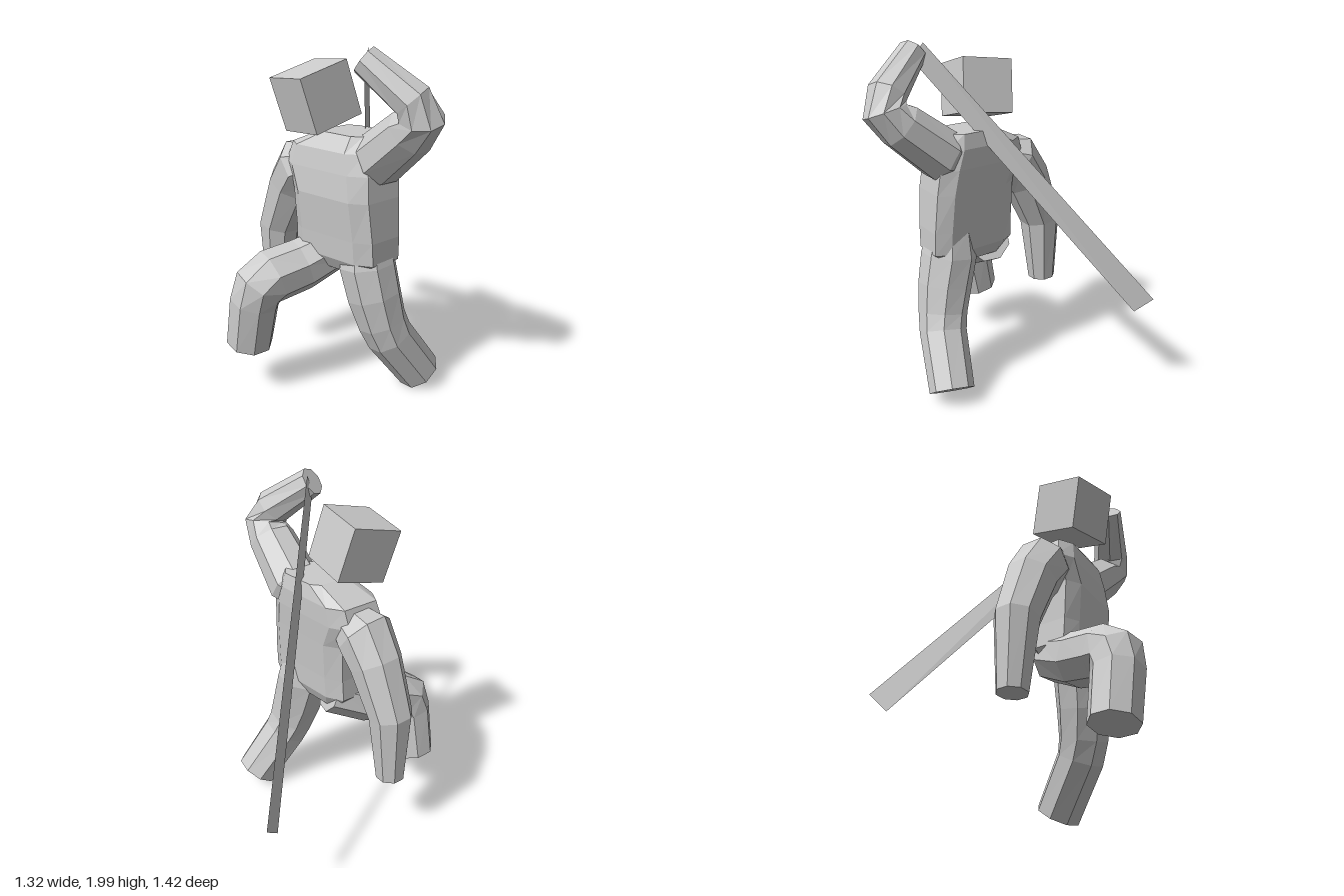
import * as THREE from 'three';

const SIDES = 8;
const vec = (a) => new THREE.Vector3(...a);

// Skin closed eight-sided cross-sections; each ring has centre c and half-axes u, v.
// A power below 1 squares the section off towards a box.
function loft(rings, power = 1) {
  const pos = [], idx = [];
  const k = 1 / Math.cos(Math.PI / SIDES);
  const shape = (s) => Math.sign(s) * Math.abs(s * k) ** power;
  for (const { c, u, v } of rings) {
    for (let j = 0; j < SIDES; j++) {
      const a = ((j + 0.5) / SIDES) * Math.PI * 2;
      const p = c.clone().addScaledVector(u, shape(Math.cos(a))).addScaledVector(v, shape(Math.sin(a)));
      pos.push(p.x, p.y, p.z);
    }
  }
  const last = (rings.length - 1) * SIDES;
  const c0 = rings.length * SIDES, c1 = c0 + 1;
  for (const r of [rings[0], rings[rings.length - 1]]) pos.push(r.c.x, r.c.y, r.c.z);
  for (let j = 0; j < SIDES; j++) {
    const n = (j + 1) % SIDES;
    for (let i = 0; i < last; i += SIDES) {
      idx.push(i + j, i + n, i + SIDES + n, i + j, i + SIDES + n, i + SIDES + j);
    }
    idx.push(c0, n, j, c1, last + j, last + n);
  }
  const g = new THREE.BufferGeometry();
  g.setAttribute('position', new THREE.Float32BufferAttribute(pos, 3));
  g.setIndex(idx);
  g.computeVertexNormals();
  return g;
}

// Limb through points [x, y, z, radius]; ref is a direction the limb never runs along
function limb(points, ref) {
  const c = points.map(([x, y, z]) => vec([x, y, z]));
  const dir = (i) => c[i + 1].clone().sub(c[i]).normalize();
  return loft(points.map((p, i) => {
    const t = new THREE.Vector3();
    if (i > 0) t.add(dir(i - 1));
    if (i < c.length - 1) t.add(dir(i));
    t.normalize();
    const u = vec(ref).cross(t).normalize();
    const v = t.clone().cross(u);
    return { c: c[i], u: u.multiplyScalar(p[3]), v: v.multiplyScalar(p[3]) };
  }));
}

export function createModel() {
  const group = new THREE.Group();
  const mat = new THREE.MeshStandardMaterial({ color: 0xcccccc, flatShading: true });
  const add = (name, geometry, material = mat) => {
    const m = new THREE.Mesh(geometry, material);
    m.name = name;
    group.add(m);
    return m;
  };

  // Torso: centre x, y, z, half width, half depth; twisted so the right side leads
  const torso = [
    [0.02, 0.765, 0.13, 0.19, 0.1],
    [0.045, 0.84, 0.13, 0.275, 0.138],
    [0.048, 0.97, 0.13, 0.272, 0.146],
    [0.04, 1.19, 0.132, 0.266, 0.163],
    [0.0, 1.33, 0.125, 0.29, 0.162],
    [-0.005, 1.44, 0.115, 0.25, 0.155],
    [0.06, 1.522, 0.085, 0.14, 0.12],
  ];
  add('torso', loft(torso.map(([x, y, z, w, d]) => ({
    c: vec([x, y, z]), u: vec([w, 0, -0.15 * w]), v: vec([0, 0, -d]),
  })), 0.45));

  // Head: cube nodding forward and turned a little
  const head = add('head', new THREE.BoxGeometry(0.3, 0.3, 0.3));
  const hx = vec([0.295, 0.03, 0.023]).normalize();
  const hz = vec([-0.018, -0.075, 0.288]).normalize();
  const hy = hz.clone().cross(hx).normalize();
  hz.copy(hx).cross(hy);
  head.quaternion.setFromRotationMatrix(new THREE.Matrix4().makeBasis(hx, hy, hz));
  head.position.set(-0.082, 1.707, 0.23);

  // Raised left arm, bent back over the shoulder
  add('leftArm', limb([
    [0.1, 1.33, 0.09, 0.08],
    [0.235, 1.4, 0.065, 0.14],
    [0.47, 1.585, 0.07, 0.121],
    [0.55, 1.662, 0.08, 0.11],
    [0.515, 1.752, 0.113, 0.098],
    [0.305, 1.935, 0.235, 0.073],
  ], [0, 0, 1]));

  // Lowered right arm
  add('rightArm', limb([
    [-0.1, 1.35, 0.14, 0.08],
    [-0.285, 1.285, 0.162, 0.148],
    [-0.385, 1.15, 0.168, 0.135],
    [-0.513, 0.87, 0.184, 0.114],
    [-0.54, 0.465, 0.187, 0.077],
  ], [0, 0, 1]));

  // Left leg, planted and trailing behind
  add('leftLeg', limb([
    [0.17, 0.96, 0.095, 0.12],
    [0.18, 0.8, 0.095, 0.15],
    [0.22, 0.62, 0.078, 0.144],
    [0.253, 0.46, 0.048, 0.131],
    [0.274, 0.36, 0.01, 0.126],
    [0.325, 0.082, -0.182, 0.119],
  ], [1, 0, 0]));

  // Right leg, lifted forward with a bent knee
  add('rightLeg', limb([
    [-0.08, 0.83, 0.09, 0.12],
    [-0.15, 0.744, 0.3, 0.138],
    [-0.182, 0.715, 0.48, 0.143],
    [-0.2, 0.67, 0.56, 0.14],
    [-0.223, 0.58, 0.58, 0.13],
    [-0.285, 0.3, 0.588, 0.122],
  ], [1, 0, 0]));

  // Blade: a flat strip hanging from the raised hand behind the back
  const blade = new THREE.BufferGeometry();
  blade.setAttribute('position', new THREE.Float32BufferAttribute([
    0.272, 1.985, 0.178, 0.31, 1.89, 0.24,
    -0.61, 0.526, -0.618, -0.66, 0.627, -0.711,
  ], 3));
  blade.setIndex([0, 1, 2, 0, 2, 3]);
  blade.computeVertexNormals();
  const thin = mat.clone();
  thin.side = THREE.DoubleSide;
  add('blade', blade, thin);

  return group;
}
